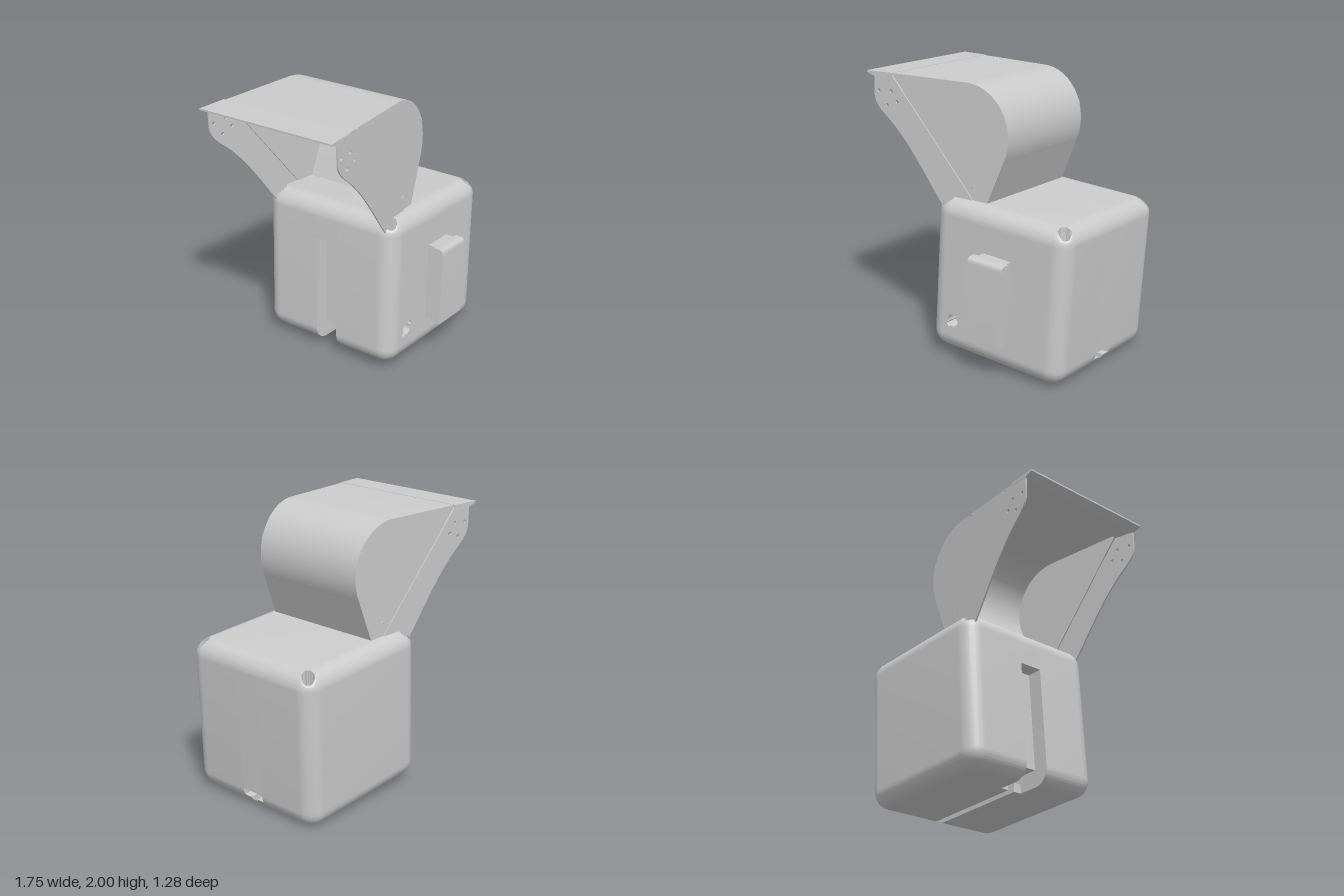
import * as THREE from 'three';
import { RoundedBoxGeometry } from 'three/addons/geometries/RoundedBoxGeometry.js';
import { toCreasedNormals } from 'three/addons/utils/BufferGeometryUtils.js';

const H = 0.5625; // half side of the box body
const R = 0.12; // edge radius
const CH = 0.09; // half width of the strap channel
const SLOT = 0.0275; // half width of the channel mouth
const SCREW = 0.488; // screw offset from the middle
const grey = new THREE.MeshStandardMaterial({ color: 0xcccccc });
const greyDouble = new THREE.MeshStandardMaterial({ color: 0xcccccc, side: THREE.DoubleSide });

function add(parent, name, geometry, material = grey) {
  const mesh = new THREE.Mesh(geometry, material);
  mesh.name = name;
  parent.add(mesh);
  return mesh;
}

const shapeOf = (pts) => new THREE.Shape(pts.map(([x, y]) => new THREE.Vector2(x, y)));

// straight extrusion between two z values
function slab(shape, z0, z1, curveSegments = 10) {
  const g = new THREE.ExtrudeGeometry(shape, { depth: z1 - z0, bevelEnabled: false, curveSegments });
  return toCreasedNormals(g.translate(0, 0, z0), 0.5);
}

// one side of the rounded body, cut flat at the channel wall, with sunk screw wells
function bodyHalf(side) {
  const src = new RoundedBoxGeometry(2 * H, 2 * H, 2 * H, 12, R).attributes.position;
  const out = [];
  const tri = [0, 1, 2].map(() => new THREE.Vector3());
  const r = 0.043;
  for (let i = 0; i < src.count; i += 3) {
    tri.forEach((v, k) => v.fromBufferAttribute(src, i + k));
    // the front flat face is a separate panel with a hole
    if (side > 0 && tri.every((v) => v.z > H - 1e-4)) continue;
    for (const v of tri) {
      if (v.y > 0 && v.z * side > 0) {
        const cx = Math.sign(v.x) * SCREW, cz = side * SCREW;
        const dx = v.x - cx, dz = v.z - cz, d = Math.hypot(dx, dz);
        if (d < r + 0.005) {
          if (d < r) v.y = 0.43;
          if (d > r - 0.006) {
            v.x = cx + dx * r / d;
            v.z = cz + dz * r / d;
          }
        }
      }
      if (v.z * side < CH) v.z = CH * side;
    }
    if (new THREE.Triangle(...tri).getArea() < 1e-9) continue;
    for (const v of tri) out.push(v.x, v.y, v.z);
  }
  const g = new THREE.BufferGeometry();
  g.setAttribute('position', new THREE.Float32BufferAttribute(out, 3));
  return toCreasedNormals(g, 0.6);
}

function createBody() {
  const body = new THREE.Group();
  body.name = 'body';
  add(body, 'bodyFrontHalf', bodyHalf(1));
  add(body, 'bodyBackHalf', bodyHalf(-1));

  // front panel with a keyed round hole
  const f = H - R;
  const panel = shapeOf([[-f, -f], [f, -f], [f, f], [-f, f]]);
  const key = [];
  for (let i = 0; i < 48; i++) {
    const a = i / 48 * Math.PI * 2;
    const rad = Math.cos(2 * (a - Math.PI / 4)) > 0.86 ? 0.064 : 0.045;
    key.push(new THREE.Vector2(-0.35 + rad * Math.cos(a), -0.325 + rad * Math.sin(a)));
  }
  panel.holes.push(new THREE.Path(key));
  add(body, 'frontPanel', slab(panel, H - 0.1, H));
  add(body, 'holeFloor', new THREE.CircleGeometry(0.08, 24).translate(-0.35, -0.325, H - 0.1));

  // middle of the body, cut back under the base and up the -x face
  const core = new THREE.Shape();
  core.moveTo(H, -0.44);
  core.lineTo(H, H - R);
  core.absarc(H - R, H - R, R, 0, Math.PI / 2);
  core.lineTo(R - H, H);
  core.absarc(R - H, H - R, R, Math.PI / 2, Math.PI);
  core.lineTo(-H, 0.28);
  core.lineTo(-0.45, 0.28);
  core.lineTo(-0.45, -0.44);
  add(body, 'bodyCore', slab(core, -CH, CH));

  // lips that narrow the mouth of the channel
  const lip = new THREE.Shape();
  const a = Math.asin((0.495 - (H - R)) / R);
  lip.moveTo(-0.3, -H);
  lip.lineTo(H - R, -H);
  lip.absarc(H - R, R - H, R, -Math.PI / 2, -a);
  lip.lineTo(-0.3, -0.495);
  add(body, 'channelLip', slab(lip, SLOT, CH));
  add(body, 'channelLip', slab(lip, -CH, -SLOT));

  // screws in the top corners
  for (const x of [-SCREW, SCREW]) for (const z of [-SCREW, SCREW]) {
    add(body, 'screw', new THREE.CylinderGeometry(0.024, 0.024, 0.04, 16)).position.set(x, 0.45, z);
  }

  // clip on the front: neck and wider plate with a rounded top edge
  const clip = new THREE.Group();
  clip.name = 'clip';
  clip.position.set(0.008, -0.04, H);
  body.add(clip);
  add(clip, 'clipNeck', new THREE.BoxGeometry(0.235, 0.58, 0.1)).position.z = 0.03;
  const side = new THREE.Shape();
  side.moveTo(0.065, -0.295);
  side.lineTo(0.14, -0.295);
  side.lineTo(0.14, 0.255);
  side.quadraticCurveTo(0.14, 0.295, 0.1, 0.295);
  side.lineTo(0.065, 0.295);
  const plate = slab(side, -0.145, 0.145).rotateY(-Math.PI / 2);
  add(clip, 'clipPlate', plate);
  return body;
}

// the hood narrows toward +x
const halfWidth = (x) => 0.515 - 0.089 * (x + 0.66);

// thin side panel that follows the taper
function taperedPanel(shape, side, offset) {
  const g = slab(shape, -0.006, 0.006);
  const p = g.attributes.position;
  for (let i = 0; i < p.count; i++) {
    p.setZ(i, p.getZ(i) + side * (halfWidth(p.getX(i)) + offset));
  }
  return toCreasedNormals(g, 0.5);
}

function createHood() {
  const hood = new THREE.Group();
  hood.name = 'hood';
  const TOP = 1.988;

  // outline of the hood from the lip over the curve and down
  const path = new THREE.Path();
  path.moveTo(-0.66, TOP);
  path.lineTo(-0.05, TOP);
  path.bezierCurveTo(0.15, TOP, 0.295, 1.83, 0.295, 1.64);
  path.bezierCurveTo(0.295, 1.57, 0.28, 1.52, 0.255, 1.465);
  path.lineTo(0.13, 1.16);
  const outline = path.getPoints(24);

  // curved sheet
  const n = outline.length - 1;
  const sheet = new THREE.PlaneGeometry(1, 1, n, 1);
  const p = sheet.attributes.position;
  for (let i = 0; i < p.count; i++) {
    const o = outline[i % (n + 1)];
    p.setXYZ(i, o.x, o.y, (i > n ? 1 : -1) * halfWidth(o.x));
  }
  sheet.computeVertexNormals();
  add(hood, 'hoodSheet', sheet, greyDouble);

  // side panels and the outer arms that carry them
  const cheek = new THREE.Shape([...outline, new THREE.Vector2(0, 1.16)]);
  const arm = new THREE.Shape();
  arm.moveTo(-0.66, TOP - 0.01);
  arm.lineTo(-0.81, TOP - 0.02);
  arm.lineTo(-0.81, 1.83);
  arm.bezierCurveTo(-0.81, 1.73, -0.7, 1.69, -0.61, 1.59);
  arm.bezierCurveTo(-0.47, 1.45, -0.38, 1.3, -0.23, 1.1);
  arm.lineTo(0.03, 1.14);
  arm.lineTo(0, 1.2);
  for (const [x, y] of [[-0.77, 1.855], [-0.665, 1.86], [-0.615, 1.79], [-0.7, 1.757]]) {
    arm.holes.push(new THREE.Path().absarc(x, y, 0.013, 0, Math.PI * 2));
  }
  const tabs = [[-0.58, 1.98, 0], [-0.19, 1.98, 0], [0.268, 1.76, 1.9], [0.015, 1.27, 0.6]];
  for (const side of [1, -1]) {
    add(hood, 'hoodCheek', taperedPanel(cheek, side, 0), greyDouble);
    add(hood, 'hoodArm', taperedPanel(arm, side, 0.008), greyDouble);
    for (const [x, y, turn] of tabs) {
      const tab = add(hood, 'hoodTab', new THREE.BoxGeometry(0.036, 0.012, 0.01));
      tab.position.set(x, y, side * (halfWidth(x) + 0.005));
      tab.rotation.z = turn;
    }
  }

  // wide lip along the open edge
  const profile = shapeOf([[-0.875, TOP], [-0.875, TOP - 0.012], [-0.81, TOP - 0.035], [-0.655, TOP - 0.02], [-0.655, TOP + 0.002]]);
  const lip = slab(profile, -1, 1);
  const q = lip.attributes.position;
  for (let i = 0; i < q.count; i++) q.setZ(i, q.getZ(i) * (0.53 - 0.09 * (q.getX(i) + 0.66)));
  add(hood, 'hoodLip', toCreasedNormals(lip, 0.3));
  return hood;
}

export function createModel() {
  const model = new THREE.Group();
  model.name = 'hoodedBox';
  const tilted = new THREE.Group();
  tilted.name = 'tiltedAssembly';
  tilted.rotation.x = -0.018;
  tilted.position.z = -0.054;
  const body = createBody();
  body.position.set(0.288, 0.598, 0);
  body.rotation.z = -0.055;
  tilted.add(body, createHood());
  model.add(tilted);
  return model;
}
